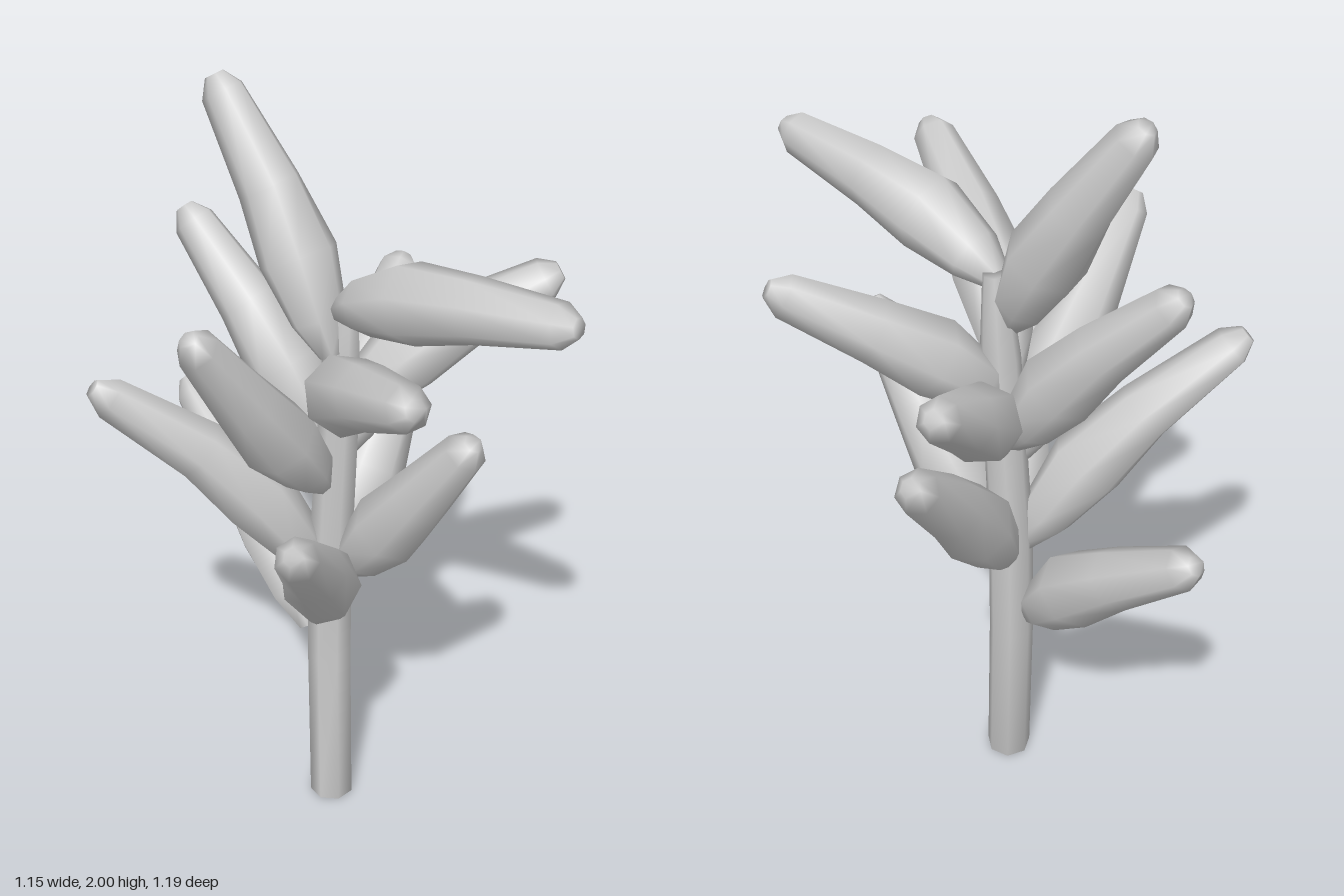
import * as THREE from 'three';

const SIDES = 7;
const material = new THREE.MeshStandardMaterial({ color: 0xcccccc });

// Loft rings along a curve; rings are [position along curve, radius]
function loft(points, rings, ref) {
  const curve = new THREE.CatmullRomCurve3(points.map(p => new THREE.Vector3(...p)));
  const pos = [], idx = [];
  for (const [t, r] of rings) {
    const c = curve.getPointAt(t), dir = curve.getTangentAt(t);
    const side = new THREE.Vector3().crossVectors(ref, dir).normalize();
    const up = new THREE.Vector3().crossVectors(dir, side);
    for (let i = 0; i < SIDES; i++) {
      const a = (i / SIDES) * Math.PI * 2;
      const v = c.clone().addScaledVector(side, Math.cos(a) * r)
        .addScaledVector(up, Math.sin(a) * r);
      pos.push(v.x, v.y, v.z);
    }
  }
  for (let k = 0; k < rings.length - 1; k++) {
    for (let i = 0; i < SIDES; i++) {
      const a = k * SIDES + i, b = k * SIDES + (i + 1) % SIDES;
      idx.push(a, b, b + SIDES, a, b + SIDES, a + SIDES);
    }
  }
  // End caps
  const last = (rings.length - 1) * SIDES;
  for (let i = 1; i < SIDES - 1; i++) {
    idx.push(0, i + 1, i, last, last + i, last + i + 1);
  }
  const g = new THREE.BufferGeometry();
  g.setAttribute('position', new THREE.Float32BufferAttribute(pos, 3));
  g.setIndex(idx);
  g.computeVertexNormals();
  return g;
}

// Leaf swelling: pinched base, fat lower third, nearly even outer half, blunt tip
const LEAF_RINGS = [[0, 0.03], [0.13, 0.07], [0.35, 0.098], [0.6, 0.078], [0.94, 0.053], [1, 0.024]];

// Each leaf: base, middle, tip, from the lowest upwards
const LEAVES = [
  [[-0.04, 0.53, -0.11], [-0.12, 0.74, -0.27], [-0.32, 1.035, -0.58]],
  [[-0.015, 0.65, -0.03], [-0.045, 0.89, 0.18], [-0.14, 1.2, 0.505]],
  [[0.03, 0.73, -0.11], [0.15, 0.99, -0.26], [0.305, 1.285, -0.51]],
  [[0.05, 0.75, -0.06], [0.17, 1.0, 0.08], [0.3, 1.3, 0.25]],
  [[-0.02, 0.75, -0.08], [-0.23, 1.04, -0.09], [-0.56, 1.31, -0.085]],
  [[-0.01, 1.01, -0.06], [-0.17, 1.28, 0.06], [-0.335, 1.575, 0.185]],
  [[0.03, 1.09, -0.07], [0.11, 1.23, -0.22], [0.245, 1.425, -0.465]],
  [[0.01, 1.08, -0.1], [-0.11, 1.33, -0.21], [-0.31, 1.625, -0.395]],
  [[0.03, 1.19, -0.07], [0.22, 1.36, -0.1], [0.56, 1.555, -0.085]],
  [[0.0, 1.24, -0.05], [0.02, 1.42, 0.2], [0.105, 1.6, 0.58]],
  [[0.03, 1.5, -0.05], [0.17, 1.6, 0.12], [0.47, 1.69, 0.44]],
  [[0.01, 1.38, -0.05], [-0.09, 1.69, -0.18], [-0.23, 1.99, -0.31]],
];

export function createModel() {
  const group = new THREE.Group();

  // Slightly leaning stem
  const stem = new THREE.Mesh(loft(
    [[0.01, 0.01, -0.04], [0.01, 0.72, -0.08], [0.03, 1.2, -0.07], [0.045, 1.53, -0.065]],
    [[0, 0.058], [0.3, 0.058], [0.5, 0.057], [0.85, 0.05], [1, 0.03]],
    new THREE.Vector3(0, 0, 1)), material);
  stem.name = 'stem';
  group.add(stem);

  // Fleshy leaves spiralling up the stem
  const up = new THREE.Vector3(0, 1, 0);
  LEAVES.forEach((points, i) => {
    const leaf = new THREE.Mesh(loft(points, LEAF_RINGS, up), material);
    leaf.name = `leaf${i + 1}`;
    group.add(leaf);
  });
  return group;
}
